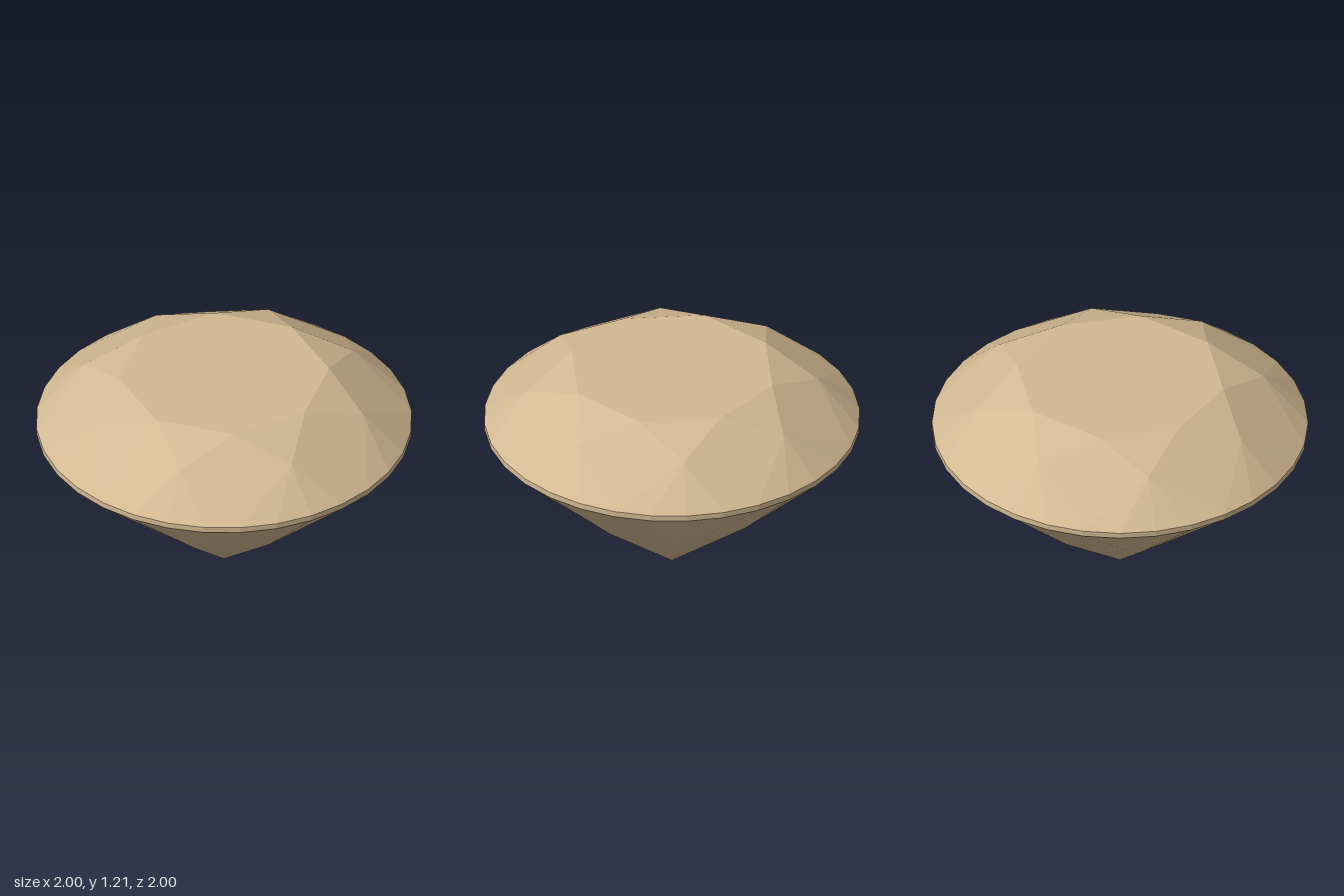
import * as THREE from 'three';

const TURN = THREE.MathUtils.degToRad(-1.8); // slight twist of the whole cut

// Point on a ring; step counts 32nds of a full turn
const ring = (radius, y) => (step) => {
  const a = TURN + (step / 32) * Math.PI * 2;
  return [Math.cos(a) * radius, y, Math.sin(a) * radius];
};

// Flat facets, each a convex polygon split into a fan
function facetMesh(name, facets, material) {
  const pos = [];
  for (const f of facets) {
    for (let i = 1; i < f.length - 1; i++) pos.push(...f[0], ...f[i], ...f[i + 1]);
  }
  const geo = new THREE.BufferGeometry();
  geo.setAttribute('position', new THREE.Float32BufferAttribute(pos, 3));
  geo.computeVertexNormals();
  const mesh = new THREE.Mesh(geo, material);
  mesh.name = name;
  return mesh;
}

export function createModel() {
  const stone = new THREE.MeshStandardMaterial({ color: 0xd2b992, flatShading: true });
  stone.name = 'warm tan stone';

  const tableRim = ring(0.56, 1.205);
  const starTip = ring(0.777, 1.1);
  const girdleTop = ring(1, 0.905);
  const girdleBottom = ring(1, 0.873);
  const lowerTip = ring(0.51, 0.41);
  const culet = [0, 0, 0];

  const table = [[]], stars = [], kites = [], upperHalves = [];
  const girdle = [], lowerHalves = [], mains = [];

  // Eight-fold symmetry
  for (let k = 0; k < 32; k += 4) {
    table[0].unshift(tableRim(k));
    stars.push([tableRim(k), tableRim(k + 4), starTip(k + 2)]);
    kites.push([tableRim(k), starTip(k + 2), girdleTop(k), starTip(k - 2)]);
    mains.push([girdleBottom(k), lowerTip(k + 2), culet, lowerTip(k - 2)]);
    // Narrow facets meeting the girdle
    for (let j = k; j < k + 4; j++) {
      upperHalves.push([starTip(k + 2), girdleTop(j + 1), girdleTop(j)]);
      girdle.push([girdleTop(j), girdleTop(j + 1), girdleBottom(j + 1), girdleBottom(j)]);
      lowerHalves.push([girdleBottom(j), girdleBottom(j + 1), lowerTip(k + 2)]);
    }
  }

  const gem = new THREE.Group();
  gem.name = 'cutGem';
  const parts = { table, starFacets: stars, kiteFacets: kites, upperGirdleFacets: upperHalves,
    girdle, lowerGirdleFacets: lowerHalves, pavilionFacets: mains };
  for (const [name, facets] of Object.entries(parts)) gem.add(facetMesh(name, facets, stone));
  return gem;
}
